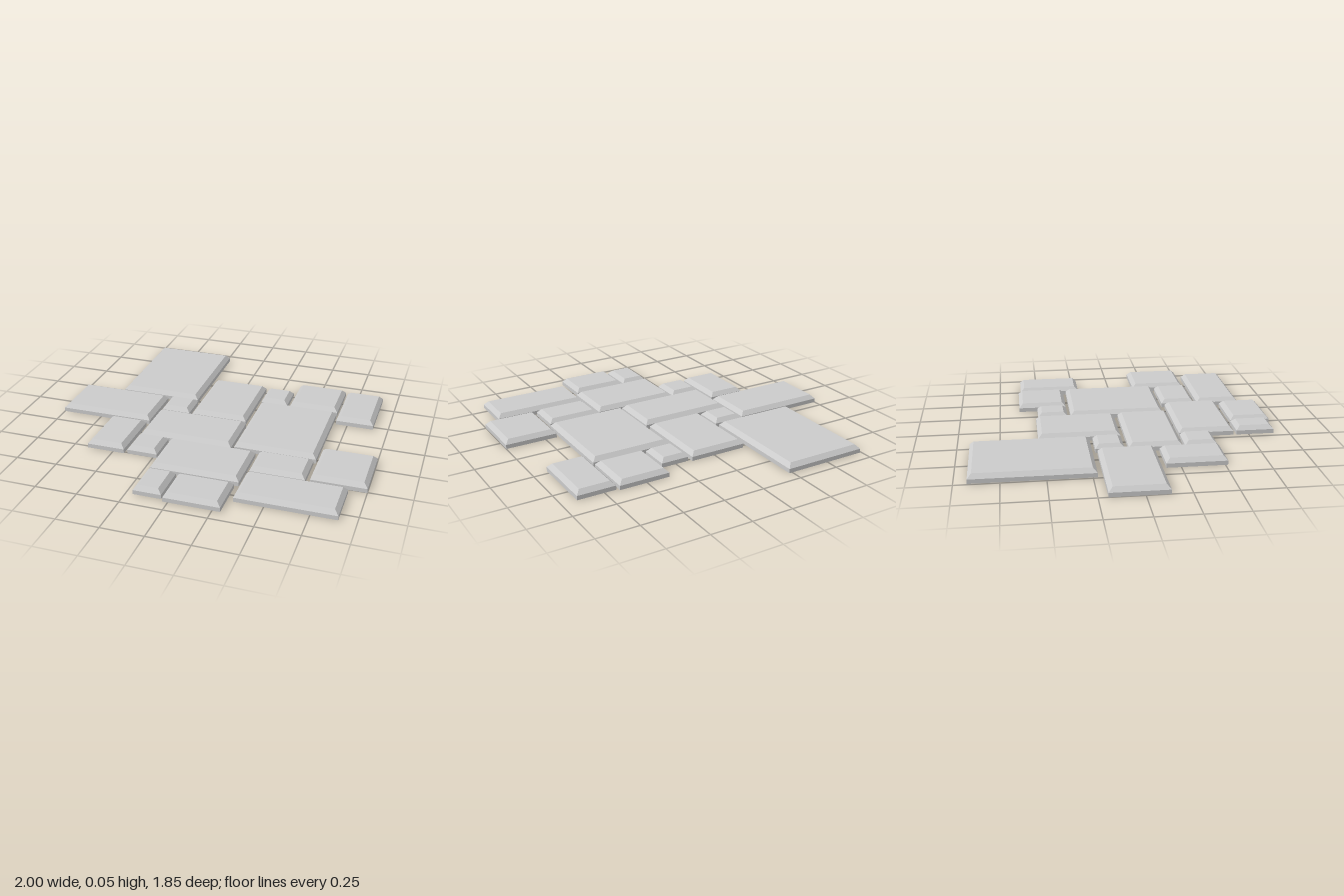
import * as THREE from 'three';

const HEIGHT = 0.05;
const BEVEL = 0.024;

// Footprint of each paving slab: [x0, x1, z0, z1]
const SLABS = [
  [-0.74, -0.23, -0.925, -0.225],
  [-1.0, -0.42, -0.195, 0.135],
  [-0.40, -0.22, -0.205, -0.035],
  [-0.20, 0.15, -0.525, -0.035],
  [0.17, 0.34, -0.51, -0.325],
  [0.36, 0.665, -0.625, -0.325],
  [0.68, 0.91, -0.61, -0.22],
  [0.175, 0.665, -0.305, 0.285],
  [-0.405, 0.16, -0.01, 0.305],
  [-0.66, -0.43, 0.165, 0.515],
  [-0.41, -0.225, 0.32, 0.51],
  [-0.21, 0.315, 0.32, 0.655],
  [0.335, 0.655, 0.305, 0.52],
  [0.68, 1.0, 0.16, 0.505],
  [0.33, 0.90, 0.54, 0.81],
  [-0.21, -0.045, 0.675, 0.905],
  [-0.03, 0.295, 0.68, 0.925],
];

// A box whose upper half slopes inward to a smaller top face
function slabGeometry(width, depth) {
  const box = new THREE.BoxGeometry(width, HEIGHT, depth, 1, 2, 1);
  const p = box.attributes.position;
  for (let i = 0; i < p.count; i++) {
    if (p.getY(i) > HEIGHT / 4) {
      p.setX(i, p.getX(i) - Math.sign(p.getX(i)) * BEVEL);
      p.setZ(i, p.getZ(i) - Math.sign(p.getZ(i)) * BEVEL);
    }
  }
  const geometry = box.toNonIndexed();
  geometry.computeVertexNormals();
  return geometry;
}

export function createModel() {
  const model = new THREE.Group();
  model.name = 'stonePaving';
  const stone = new THREE.MeshStandardMaterial({ color: 0xcccccc, flatShading: true });

  SLABS.forEach(([x0, x1, z0, z1], i) => {
    const slab = new THREE.Mesh(slabGeometry(x1 - x0, z1 - z0), stone);
    slab.name = `pavingSlab${i + 1}`;
    slab.position.set((x0 + x1) / 2, HEIGHT / 2, (z0 + z1) / 2);
    model.add(slab);
  });

  return model;
}
